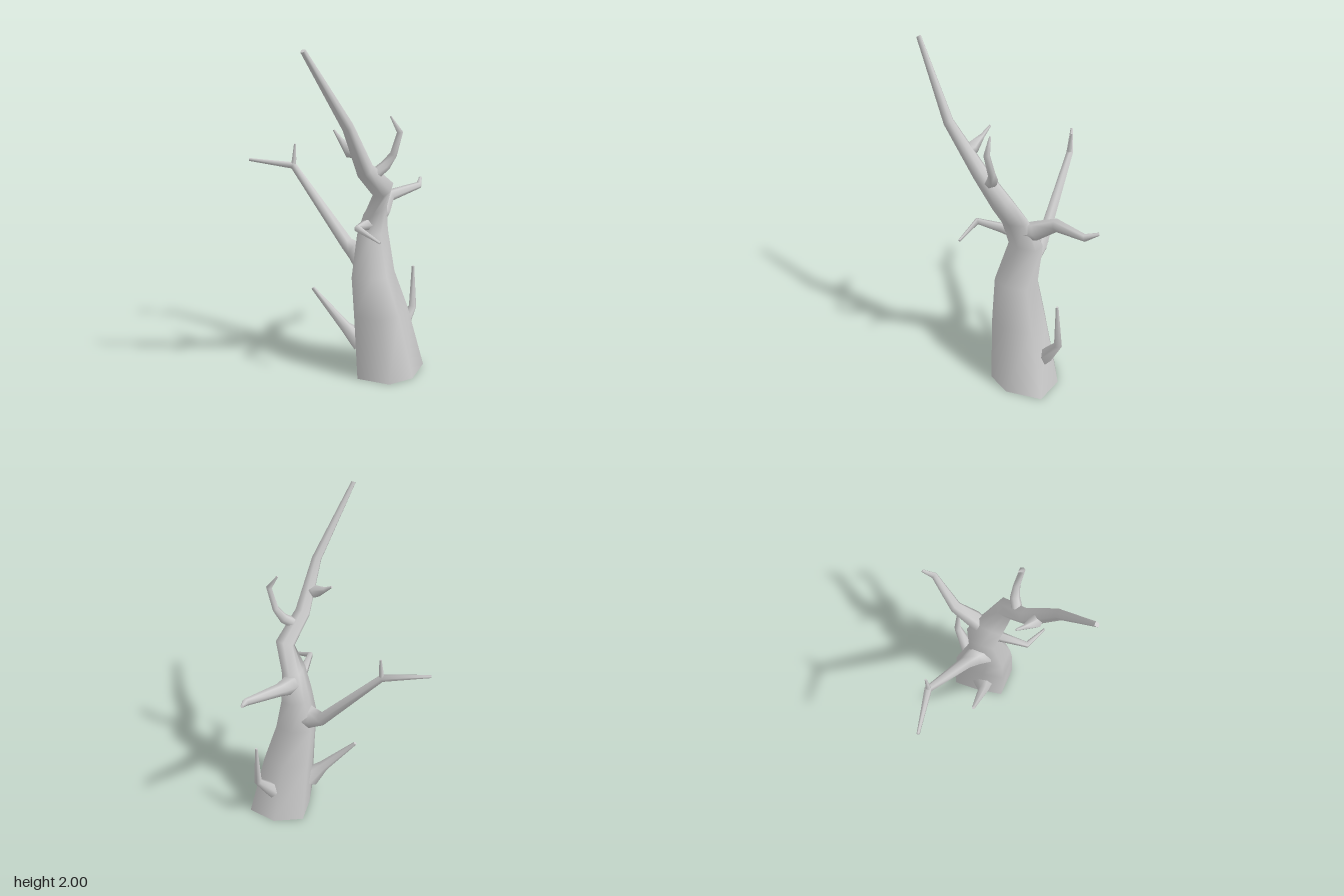
import * as THREE from 'three';

const material = new THREE.MeshStandardMaterial({ color: 0xcccccc, side: THREE.DoubleSide });

// Irregular trunk section, in -1..1
const SECTION = [[0.79, -0.93], [-0.18, -1], [-1, -0.5], [-0.78, 0.25], [-0.44, 0.98], [0.6, 0.8], [1, 0.1]];

// Skins a list of rings with smooth sides, open at the root and capped at the tip
function loft(name, rings) {
  const n = rings[0].length;
  const points = rings.flat();
  const index = [];
  for (let r = 0; r < rings.length - 1; r++) {
    for (let i = 0; i < n; i++) {
      const a = r * n + i, b = r * n + (i + 1) % n;
      index.push(a, b, b + n, a, b + n, a + n);
    }
  }
  // The cap uses its own vertices so its rim stays sharp
  const tip = points.length;
  points.push(...rings[rings.length - 1]);
  for (let i = 1; i < n - 1; i++) index.push(tip, tip + i, tip + i + 1);
  const geometry = new THREE.BufferGeometry().setFromPoints(points);
  geometry.setIndex(index);
  geometry.computeVertexNormals();
  const mesh = new THREE.Mesh(geometry, material);
  mesh.name = name;
  return mesh;
}

// Tapered branch through stations [x, y, z, radius]
function branch(name, stations, sides = 6) {
  const centres = stations.map(([x, y, z]) => new THREE.Vector3(x, y, z));
  const last = centres.length - 1;
  const steps = centres.slice(1).map((p, i) => p.clone().sub(centres[i]).normalize());
  const tangent = steps[0].clone();
  const helper = Math.abs(tangent.y) > 0.9 ? new THREE.Vector3(1, 0, 0) : new THREE.Vector3(0, 1, 0);
  const u = helper.cross(tangent).normalize();
  const rings = centres.map((c, i) => {
    const next = steps[Math.max(i - 1, 0)].clone().add(steps[Math.min(i, last - 1)]).normalize();
    u.applyQuaternion(new THREE.Quaternion().setFromUnitVectors(tangent, next));
    tangent.copy(next);
    const v = tangent.clone().cross(u);
    return Array.from({ length: sides }, (_, k) => {
      const a = (k / sides) * Math.PI * 2;
      return c.clone()
        .addScaledVector(u, Math.cos(a) * stations[i][3])
        .addScaledVector(v, Math.sin(a) * stations[i][3]);
    });
  });
  return loft(name, rings);
}

export function createModel() {
  const tree = new THREE.Group();
  tree.name = 'deadTree';

  // Trunk running into the tall leaning limb: x, y, z, half width, half depth, tilt
  const trunk = [
    [0.355, 0, -0.144, 0.19, 0.209, 0],
    [0.318, 0.4, -0.088, 0.152, 0.163, 0],
    [0.285, 0.64, -0.053, 0.118, 0.13, 0],
    [0.257, 0.88, -0.099, 0.074, 0.106, 0],
    [0.3, 1.03, -0.058, 0.053, 0.084, 0.15],
    [0.375, 1.17, -0.018, 0.055, 0.063, 0.6],
    [0.345, 1.31, 0.138, 0.046, 0.046, 0.8],
    [0.352, 1.58, 0.325, 0.028, 0.03, 0.6],
    [0.24, 1.993, 0.57, 0.013, 0.014, 0.52],
  ];
  tree.add(loft('trunk', trunk.map(([x, y, z, w, d, tilt]) => SECTION.map(([u, v]) =>
    new THREE.Vector3(x + u * w, y - v * d * Math.sin(tilt), z + v * d * Math.cos(tilt))))));

  // Long side branch with an upright twig at its elbow
  tree.add(branch('longBranch', [
    [0.225, 0.715, -0.075, 0.085], [0.155, 0.743, -0.095, 0.06], [0.085, 0.772, -0.11, 0.041],
    [-0.295, 1.208, -0.097, 0.022], [-0.545, 1.235, 0.015, 0.009]]));
  tree.add(branch('longBranchTwig', [
    [-0.293, 1.2, -0.095, 0.016], [-0.29, 1.25, -0.1, 0.013], [-0.29, 1.34, -0.11, 0.006]]));

  // Branch reaching backwards
  tree.add(branch('backBranch', [
    [0.285, 0.97, -0.11, 0.05], [0.282, 0.995, -0.18, 0.055], [0.262, 1.055, -0.3, 0.038],
    [0.348, 1.085, -0.515, 0.021], [0.322, 1.115, -0.585, 0.009]]));

  // Low branches
  tree.add(branch('lowSideBranch', [
    [0.222, 0.19, -0.06, 0.068], [0.142, 0.282, -0.008, 0.034], [-0.055, 0.51, 0.05, 0.011]]));
  tree.add(branch('lowBackBranch', [
    [0.362, 0.195, -0.28, 0.05], [0.395, 0.345, -0.388, 0.024], [0.395, 0.61, -0.379, 0.008]]));

  // Hooked branch near the crown
  tree.add(branch('hookedBranch', [
    [0.348, 1.25, 0.085, 0.034], [0.41, 1.32, 0.015, 0.03], [0.45, 1.385, -0.003, 0.021],
    [0.49, 1.515, 0, 0.018], [0.435, 1.6, 0.01, 0.005]]));

  // Small twigs
  tree.add(branch('upperTwig', [
    [0.345, 1.42, 0.212, 0.03], [0.3, 1.427, 0.212, 0.04], [0.225, 1.475, 0.19, 0.015],
    [0.17, 1.52, 0.17, 0.006]], 5));
  tree.add(branch('frontTwig', [
    [0.275, 0.94, -0.07, 0.04], [0.295, 0.96, 0.03, 0.03], [0.33, 0.982, 0.175, 0.02],
    [0.49, 0.93, 0.197, 0.007]], 5));

  return tree;
}
